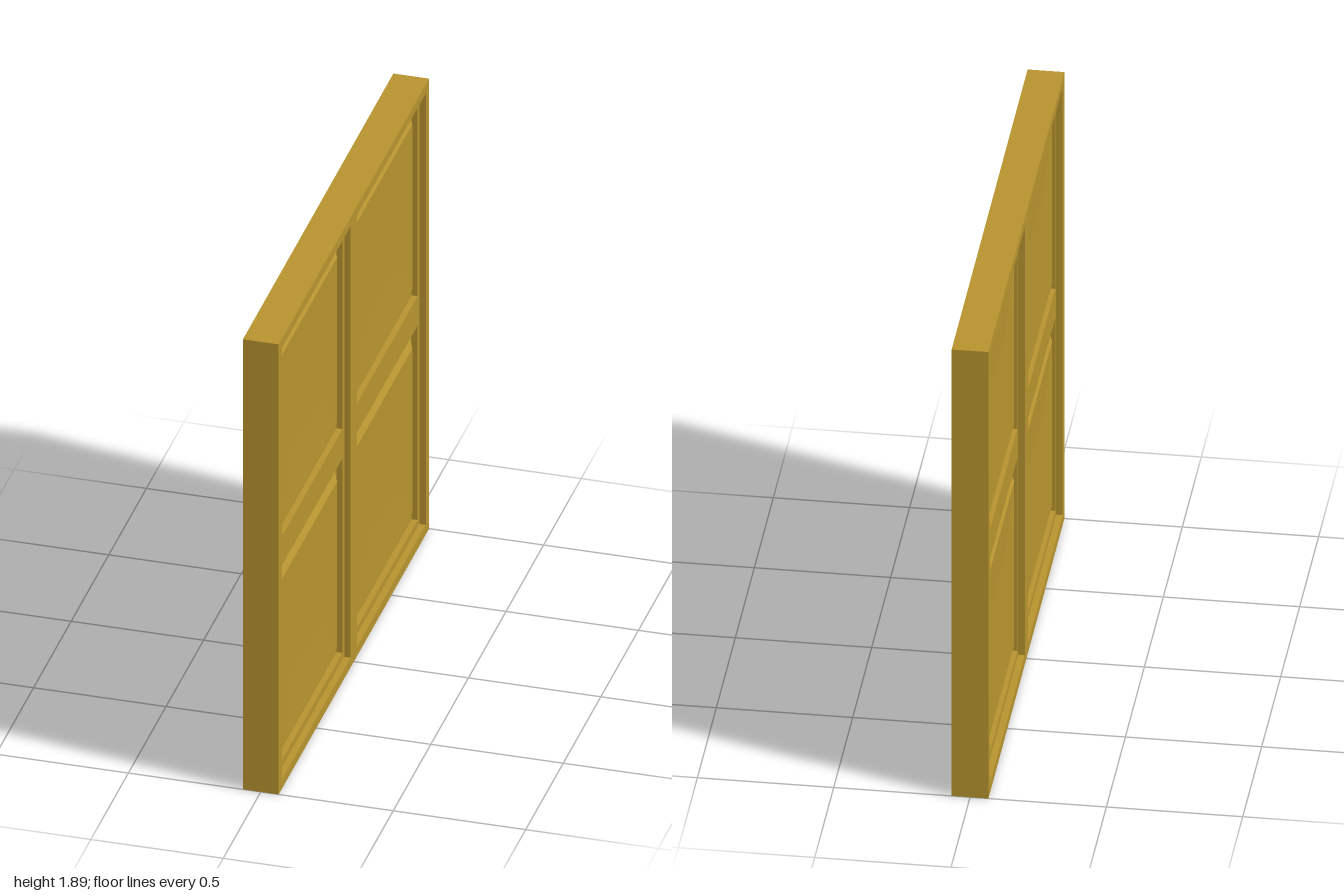
import * as THREE from 'three';

const HEIGHT = 1.89, FACE = 0.0675, LEAF = 0.0435;

// Flat slab with rectangular openings; rects are [x0, y0, x1, y1]
function slab(outer, openings, half) {
  const trace = (p, [x0, y0, x1, y1]) =>
    p.moveTo(x0, y0).lineTo(x1, y0).lineTo(x1, y1).lineTo(x0, y1).lineTo(x0, y0);
  const shape = trace(new THREE.Shape(), outer);
  openings.forEach(r => shape.holes.push(trace(new THREE.Path(), r)));
  const g = new THREE.ExtrudeGeometry(shape, { depth: half * 2, bevelEnabled: false });
  return g.translate(0, 0, -half);
}

// Raised panel face: nested rectangles joined by sloping bands, [inset, height]
function panelFace(w, h, rings) {
  const corners = rings.map(([i, z]) => {
    const a = w / 2 - i, b = h / 2 - i;
    return [[-a, -b, z], [a, -b, z], [a, b, z], [-a, b, z]];
  });
  const pos = [];
  const quad = (a, b, c, d) => pos.push(...a, ...b, ...c, ...a, ...c, ...d);
  for (let r = 0; r < corners.length - 1; r++) {
    const o = corners[r], n = corners[r + 1];
    for (let k = 0; k < 4; k++) quad(o[k], o[(k + 1) % 4], n[(k + 1) % 4], n[k]);
  }
  quad(...corners[corners.length - 1]);
  const g = new THREE.BufferGeometry();
  g.setAttribute('position', new THREE.Float32BufferAttribute(pos, 3));
  g.computeVertexNormals();
  return g;
}

export function createModel() {
  const wood = new THREE.MeshStandardMaterial({ color: 0xb8942f });
  wood.name = 'golden wood';
  const door = new THREE.Group();
  door.name = 'doublePanelDoor';
  const add = (parent, name, geometry) => {
    const m = new THREE.Mesh(geometry, wood);
    m.name = name;
    parent.add(m);
    return m;
  };

  // Outer frame with two tall openings
  const leafRects = [[-0.957, 0.04, -0.043, 1.852], [0.043, 0.04, 0.957, 1.852]];
  add(door, 'frame', slab([-1, 0, 1, HEIGHT], leafRects, FACE));

  // Groove, bevel, shallow dish and flat centre of each panel
  const rings = [[0, 0.021], [0.03, 0.021], [0.063, 0.041], [0.255, 0.035]];

  leafRects.forEach((rect, i) => {
    const leaf = new THREE.Group();
    leaf.name = i ? 'rightLeaf' : 'leftLeaf';
    door.add(leaf);
    const x0 = i ? 0.067 : -0.933, x1 = x0 + 0.866;
    const panels = [[x0, 0.07, x1, 0.887], [x0, 1.01, x1, 1.828]];
    add(leaf, 'leafFrame', slab(rect, panels, LEAF));

    // Raised panels on both faces
    panels.forEach(([a, b, c, d], row) => {
      for (const turn of [0, Math.PI]) {
        const m = add(leaf, row ? 'upperPanel' : 'lowerPanel', panelFace(c - a, d - b, rings));
        m.position.set((a + c) / 2, (b + d) / 2, 0);
        m.rotation.y = turn;
      }
    });
  });

  // Turn the door so its broad faces look along x
  door.rotation.y = Math.PI / 2;
  const model = new THREE.Group();
  model.name = 'door';
  model.add(door);
  return model;
}
